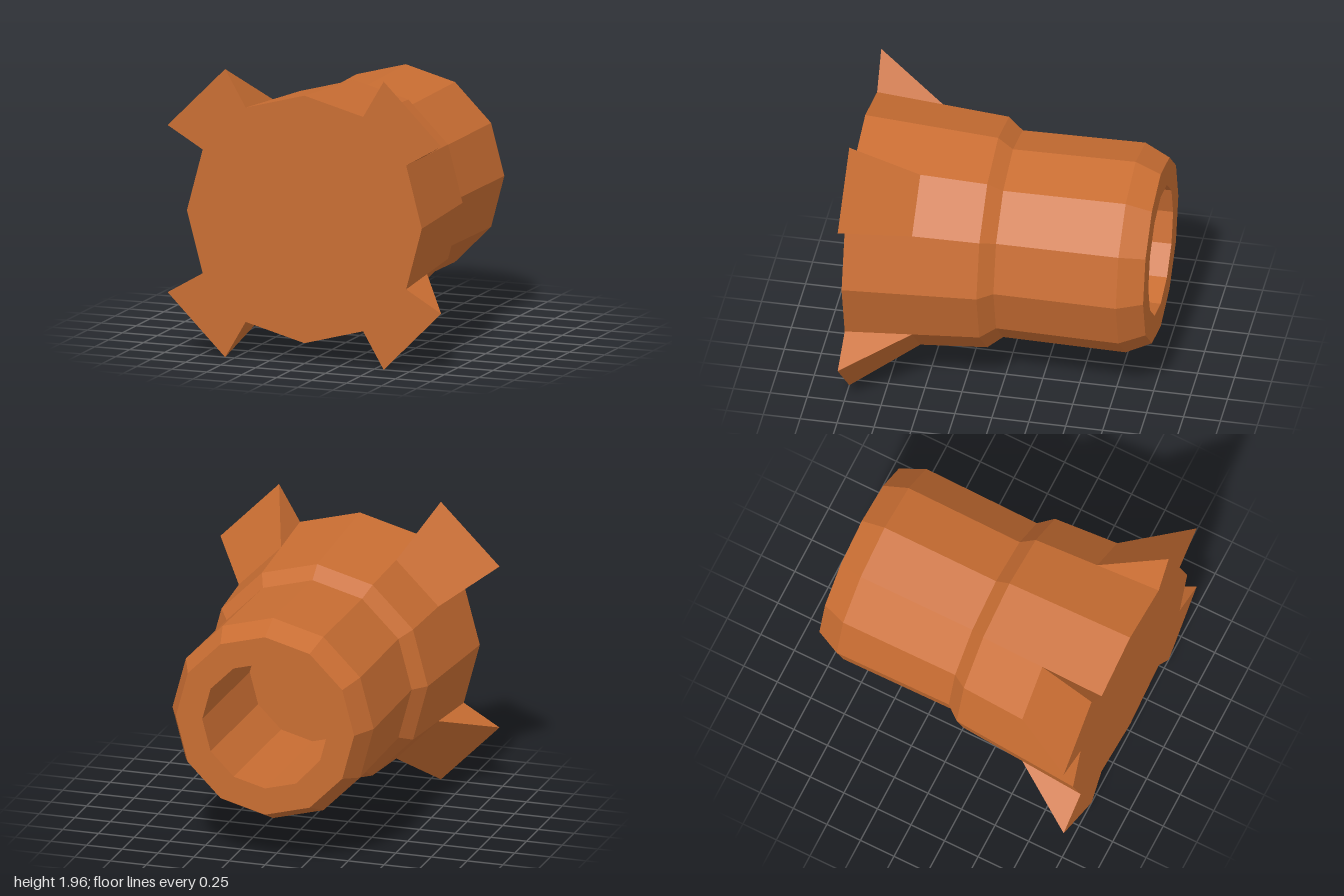
import * as THREE from 'three';

const SIDES = 12;
const AXIS_Y = 0.98;

export function createModel() {
  const group = new THREE.Group();
  const material = new THREE.MeshStandardMaterial({ color: 0xc86d32, flatShading: true });

  const add = (name, geometry) => {
    const mesh = new THREE.Mesh(geometry, material);
    mesh.name = name;
    mesh.position.y = AXIS_Y;
    group.add(mesh);
    return mesh;
  };

  // Twelve-sided turned shape along z, from [radius, z] pairs
  const turned = (profile) =>
    new THREE.LatheGeometry(profile.map(([r, z]) => new THREE.Vector2(r, z)), SIDES).rotateX(Math.PI / 2);

  // Hollow rear barrel: bore floor, bore wall, rim, chamfer, outer wall
  add('barrel', turned([[0, 0], [0.44, 0], [0.44, -1], [0.625, -1], [0.705, -0.83], [0.695, 0]]));

  // Flared head with a flat front
  add('head', turned([[0.695, 0], [0.775, 0.1], [0.84, 1], [0, 1]]));

  // Wedge fin rising from one facet of the head, between 30 and 60 degrees
  const onHead = (deg, r, z) => {
    const a = THREE.MathUtils.degToRad(deg);
    return [r * Math.cos(a), r * Math.sin(a), z];
  };
  const a = onHead(30, 0.84, 1), b = onHead(60, 0.84, 1);
  const c = onHead(30, 0.8075, 0.55), d = onHead(60, 0.8075, 0.55);
  const tipA = [0.978, 0.567, 1], tipB = [0.567, 0.978, 1];
  const faces = [
    a, tipA, tipB, a, tipB, b, // front
    c, d, tipB, c, tipB, tipA, // sloping back
    a, c, tipA, b, tipB, d, // sides
  ];
  const finGeometry = new THREE.BufferGeometry();
  finGeometry.setAttribute('position', new THREE.Float32BufferAttribute(faces.flat(), 3));
  finGeometry.computeVertexNormals();

  for (let i = 0; i < 4; i++) add('fin' + (i + 1), finGeometry).rotation.z = (i * Math.PI) / 2;

  return group;
}
